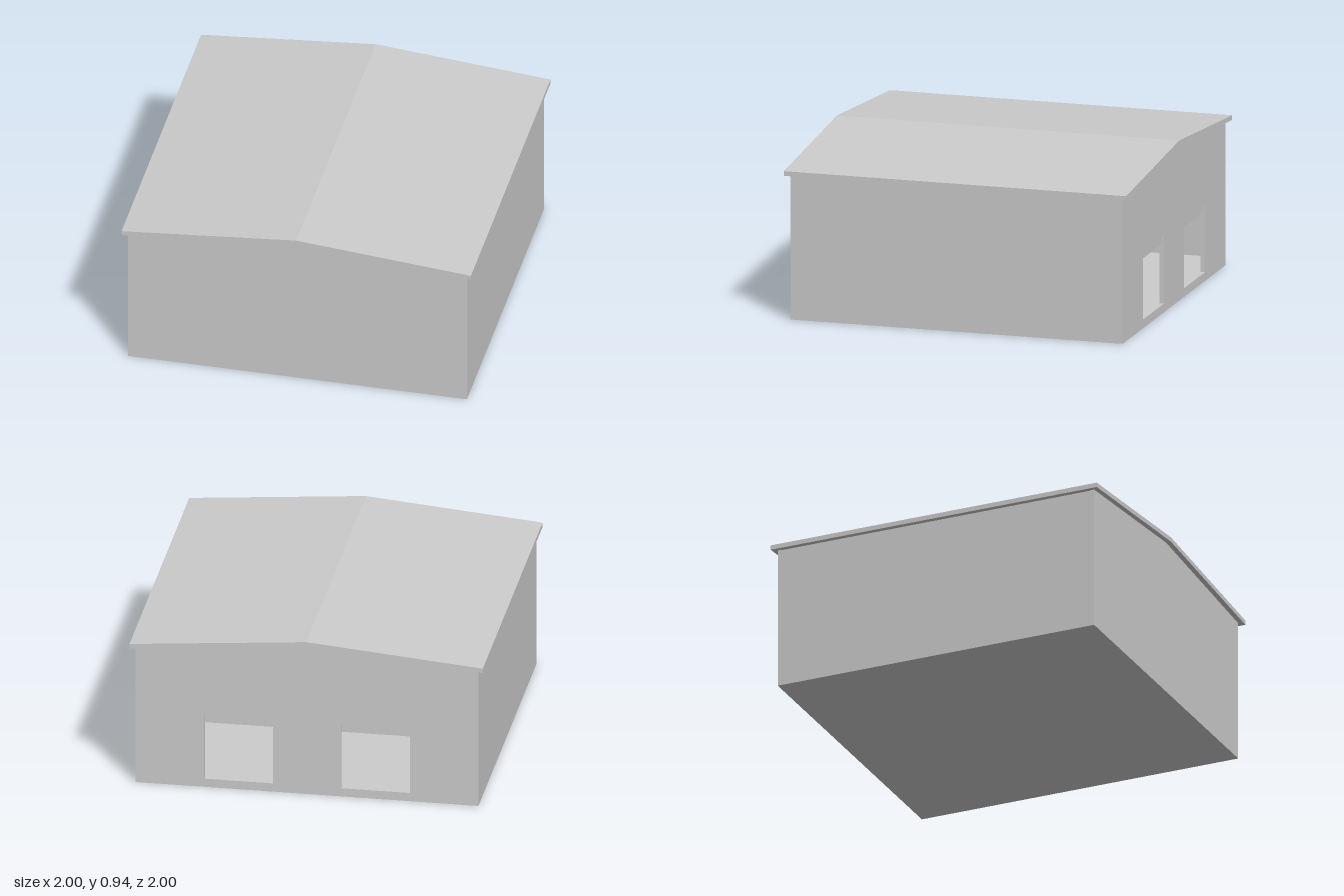
import * as THREE from 'three';

const HALF = 0.97;      // outer half width and depth of the walls
const T = 0.026;        // wall thickness
const EAVE = 0.83, RIDGE = 0.917, ROOF = 0.027;
const FLOOR = 0.05, CEILING = 0.78;
const DOOR = { x: 0.387, w: 0.39, top: 0.44, lintel: 0.05 };

const material = new THREE.MeshStandardMaterial({ color: 0xcccccc, flatShading: true });

function add(parent, name, geometry, x = 0, y = 0, z = 0) {
  const mesh = new THREE.Mesh(geometry, material);
  mesh.name = name;
  mesh.position.set(x, y, z);
  parent.add(mesh);
  return mesh;
}

const polygon = (points) => new THREE.Shape(points.map(([x, y]) => new THREE.Vector2(x, y)));
const extrude = (shape, depth) => new THREE.ExtrudeGeometry(shape, { depth, bevelEnabled: false });

// Wall outline that follows the underside of the roof
function gableShape() {
  const side = RIDGE - (RIDGE - EAVE) * HALF;
  return polygon([[-HALF, 0], [HALF, 0], [HALF, side], [0, RIDGE], [-HALF, side]]);
}

export function createModel() {
  const building = new THREE.Group();
  building.name = 'building';
  const inner = 2 * (HALF - T);

  // Solid front gable wall
  add(building, 'frontWall', extrude(gableShape(), T), 0, 0, HALF - T);

  // Back gable wall with two square openings
  const back = gableShape();
  for (const s of [-1, 1]) {
    const l = s * DOOR.x - DOOR.w / 2, r = s * DOOR.x + DOOR.w / 2;
    back.holes.push(new THREE.Path([
      new THREE.Vector2(l, FLOOR), new THREE.Vector2(l, DOOR.top),
      new THREE.Vector2(r, DOOR.top), new THREE.Vector2(r, FLOOR),
    ]));
  }
  add(building, 'backWall', extrude(back, T), 0, 0, -HALF);

  for (const s of [-1, 1]) {
    // Side walls
    add(building, s > 0 ? 'leftWall' : 'rightWall',
      new THREE.BoxGeometry(T, EAVE, inner), s * (HALF - T / 2), EAVE / 2, 0);
    // Raised door panel at the head of each opening, set slightly back
    add(building, s > 0 ? 'leftDoorHead' : 'rightDoorHead',
      new THREE.BoxGeometry(DOOR.w, DOOR.lintel, T - 0.014),
      s * DOOR.x, DOOR.top - DOOR.lintel / 2, -HALF + 0.014 + (T - 0.014) / 2);
  }

  // Floor slab and ceiling
  add(building, 'floor', new THREE.BoxGeometry(inner, FLOOR, inner), 0, FLOOR / 2, 0);
  add(building, 'ceiling', new THREE.BoxGeometry(inner, EAVE - CEILING, inner), 0, (EAVE + CEILING) / 2, 0);

  // Low-pitched roof slab overhanging all walls
  const roof = polygon([[-1, EAVE], [0, RIDGE], [1, EAVE],
    [1, EAVE + ROOF], [0, RIDGE + ROOF], [-1, EAVE + ROOF]]);
  add(building, 'roof', extrude(roof, 2), 0, 0, -1);

  return building;
}
